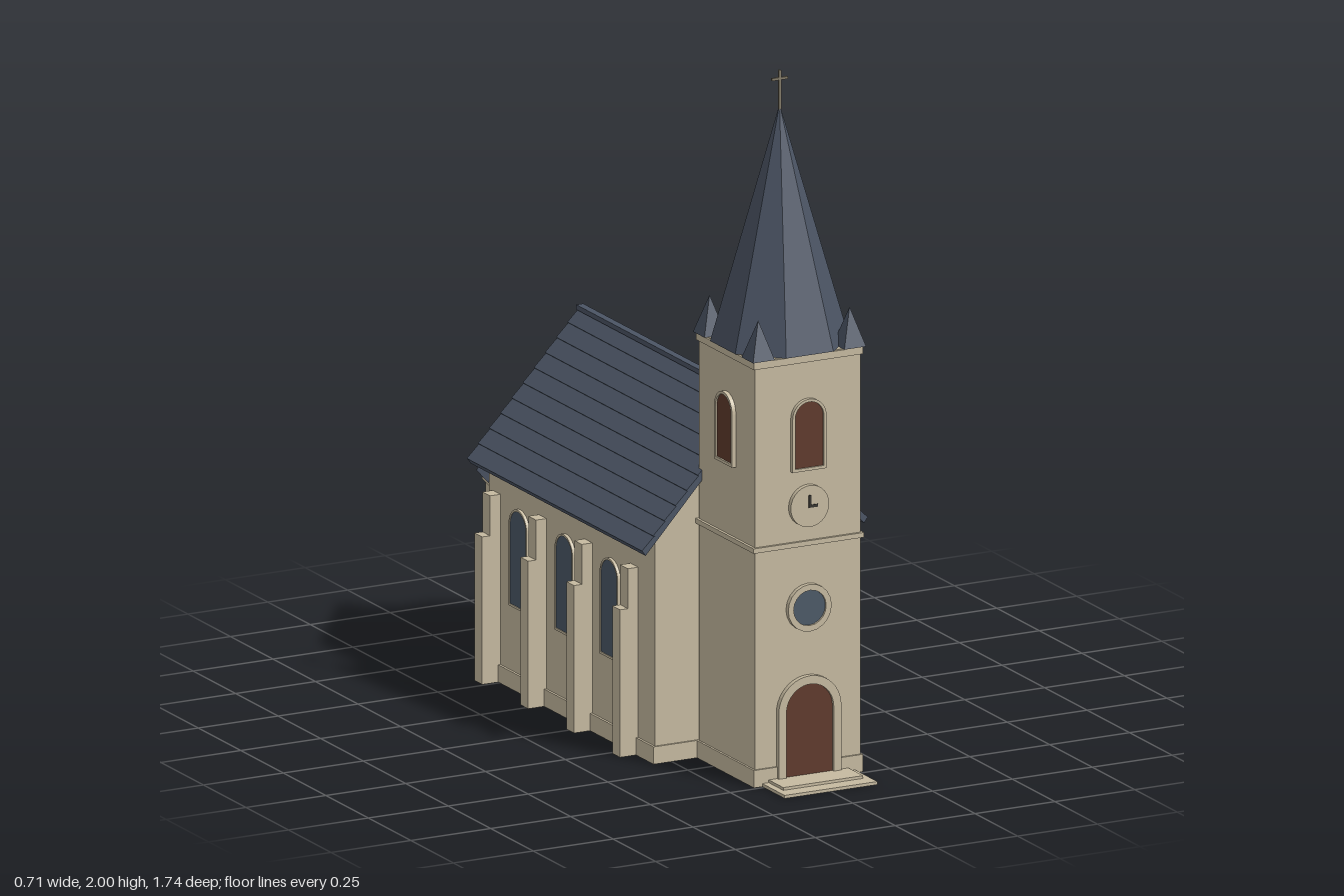
import * as THREE from 'three';

const mat = (name, color) => {
  const m = new THREE.MeshStandardMaterial({ color });
  m.name = name;
  return m;
};

export function createModel() {
  const stone = mat('stone', 0xc6baa0);
  const slate = mat('slate', 0x4b5464);
  const glass = mat('glass', 0x4c5967);
  const wood = mat('wood', 0x5f3a2c);
  const iron = mat('iron', 0x35332f);
  const brass = mat('cross metal', 0x847b68);

  const church = new THREE.Group();
  church.name = 'church';

  const add = (name, geo, material, x = 0, y = 0, z = 0, parent = church) => {
    const mesh = new THREE.Mesh(geo, material);
    mesh.name = name;
    mesh.position.set(x, y, z);
    parent.add(mesh);
    return mesh;
  };
  // Box standing on y
  const box = (name, w, h, d, material, x, y, z, parent) =>
    add(name, new THREE.BoxGeometry(w, h, d), material, x, y + h / 2, z, parent);
  // Faceted copy of a round geometry
  const facet = (geo) => {
    const g = geo.toNonIndexed();
    g.computeVertexNormals();
    return g;
  };
  const extrude = (shape, depth) =>
    new THREE.ExtrudeGeometry(shape, { depth, bevelEnabled: false, curveSegments: 10 });
  const polygon = (pts) => new THREE.Shape(pts.map(([x, y]) => new THREE.Vector2(x, y)));

  // Round-headed outline standing on y = y0
  const arch = (w, h, y0 = 0) => {
    const s = new THREE.Shape();
    s.moveTo(-w / 2, y0);
    s.lineTo(w / 2, y0);
    s.lineTo(w / 2, h - w / 2);
    s.absarc(0, h - w / 2, w / 2, 0, Math.PI, false);
    s.lineTo(-w / 2, y0);
    return s;
  };
  // Round-headed opening with a stone surround, facing the given heading
  const opening = (name, w, h, trim, material, x, y, z, heading, depth = 0.012) => {
    const g = new THREE.Group();
    g.name = name;
    g.position.set(x, y, z);
    g.rotation.y = heading;
    const surround = arch(w + trim * 2, h + trim, -Math.min(trim, y));
    surround.holes.push(arch(w, h, 0.0005));
    add(name + 'Surround', extrude(surround, depth), stone, 0, 0, 0, g);
    add(name + 'Panel', extrude(arch(w, h), 0.007), material, 0, 0, 0, g);
    church.add(g);
  };

  // Nave with gables and plinth
  const gable = polygon([[-0.3, 0], [0.3, 0], [0.3, 0.65], [0, 0.99], [-0.3, 0.65]]);
  add('naveWalls', extrude(gable, 0.975), stone, 0, 0, -0.575);
  box('navePlinth', 0.614, 0.05, 0.987, stone, 0, 0, -0.0875);

  // Nave roof: chevron slab, overlapping slate courses and ridge cap
  const chevron = polygon([[0, 1.01], [-0.35, 0.622], [-0.342, 0.61], [0, 0.985], [0.342, 0.61], [0.35, 0.622]]);
  add('naveRoof', extrude(chevron, 1.03), slate, 0, 0, -0.605);
  const slope = Math.atan2(0.388, 0.35), slopeLength = Math.hypot(0.388, 0.35);
  const courses = 10, step = slopeLength / courses;
  for (const turn of [0, Math.PI]) {
    const side = new THREE.Group();
    side.name = 'slateCourses';
    side.position.set(0, 1.01, -0.09);
    side.rotation.set(0, turn, -slope);
    for (let i = 0; i < courses; i++) {
      const row = add('slateCourse', new THREE.BoxGeometry(step, 0.005, 1.03), slate, (i + 0.5) * step, 0.001, 0, side);
      row.rotation.z = 0.07;
    }
    church.add(side);
  }
  box('ridgeCap', 0.022, 0.014, 1.03, slate, 0, 1.007, -0.09);

  // Stepped buttresses and side windows
  for (const s of [-1, 1]) {
    for (const z of [0.28, 0.01, -0.26, -0.53]) {
      box('buttressLower', 0.07, 0.425, 0.045, stone, s * 0.322, 0, z);
      box('buttressUpper', 0.045, 0.115, 0.045, stone, s * 0.31, 0.425, z);
    }
    for (const z of [0.145, -0.12, -0.39]) {
      opening('naveWindow', 0.095, 0.275, 0.006, glass, s * 0.3, 0.245, z, s * Math.PI / 2, 0.009);
    }
  }

  // Seven-sided apse with conical roof
  const halfDrum = (rTop, rBottom, h) =>
    facet(new THREE.CylinderGeometry(rTop, rBottom, h, 7, 1, false, Math.PI / 2, Math.PI));
  add('apseWall', halfDrum(0.275, 0.275, 0.56), stone, 0, 0.28, -0.574);
  add('apsePlinth', halfDrum(0.281, 0.281, 0.05), stone, 0, 0.025, -0.574);
  add('apseCornice', halfDrum(0.285, 0.285, 0.02), stone, 0, 0.54, -0.574);
  add('apseRoof', halfDrum(0.001, 0.301, 0.23), slate, 0, 0.67, -0.574);
  for (const [a, r] of [[0, 0.267], [-1, 0.269], [1, 0.269]]) {
    const heading = Math.PI + a * Math.PI * 3 / 14;
    opening('apseWindow', 0.08, 0.21, 0.005, glass,
      Math.sin(heading) * r, 0.235, -0.574 + Math.cos(heading) * r, heading, 0.009);
  }

  // Tower shaft, plinth and string course
  const tz = 0.57, half = 0.165;
  box('towerShaft', half * 2, 1.225, half * 2, stone, 0, 0, tz);
  box('towerPlinth', 0.342, 0.05, 0.342, stone, 0, 0, tz);
  box('stringCourse', 0.346, 0.014, 0.346, stone, 0, 0.675, tz);
  box('towerCornice', 0.342, 0.02, 0.342, stone, 0, 1.203, tz);

  // Belfry louvres on all four sides
  for (let i = 0; i < 4; i++) {
    const a = i * Math.PI / 2;
    opening('belfryOpening', 0.09, 0.19, 0.008, wood,
      Math.sin(a) * half, 0.9, tz + Math.cos(a) * half, a);
  }

  // Eight-sided spire with corner pinnacles
  const spire = add('spire', facet(new THREE.ConeGeometry(0.193, 0.677, 8)), slate, 0, 1.5635, tz);
  spire.rotation.y = Math.PI / 8;
  for (const sx of [-1, 1]) for (const sz of [-1, 1]) {
    const p = add('pinnacle', facet(new THREE.ConeGeometry(0.048, 0.11, 4)), slate, sx * 0.143, 1.28, tz + sz * 0.143);
    p.rotation.y = Math.PI / 4;
  }

  // Cross on the tip
  box('crossPost', 0.007, 0.115, 0.007, brass, 0, 1.885, tz);
  box('crossArm', 0.05, 0.007, 0.007, brass, 0, 1.972, tz);

  // Door, rose window and clock on the tower front
  const fz = tz + half;
  opening('door', 0.148, 0.277, 0.024, wood, 0, 0.001, fz, 0, 0.015);
  const ring = new THREE.Shape().absarc(0, 0, 0.068, 0, Math.PI * 2, false);
  ring.holes.push(new THREE.Path().absarc(0, 0, 0.051, 0, Math.PI * 2, true));
  add('roseSurround', extrude(ring, 0.014), stone, 0, 0.497, fz);
  add('roseGlass', new THREE.CircleGeometry(0.052, 24), glass, 0, 0.497, fz + 0.008);
  const dial = add('clockDial', new THREE.CylinderGeometry(0.06, 0.06, 0.014, 28), stone, 0, 0.79, fz + 0.007);
  dial.rotation.x = Math.PI / 2;
  box('minuteHand', 0.008, 0.036, 0.003, iron, 0, 0.786, fz + 0.015);
  box('hourHand', 0.026, 0.008, 0.003, iron, 0.011, 0.786, fz + 0.015);

  // Entrance steps
  box('lowerStep', 0.29, 0.009, 0.145, stone, 0, 0, 0.8);
  box('upperStep', 0.25, 0.017, 0.1, stone, 0, 0, 0.777);

  return church;
}
